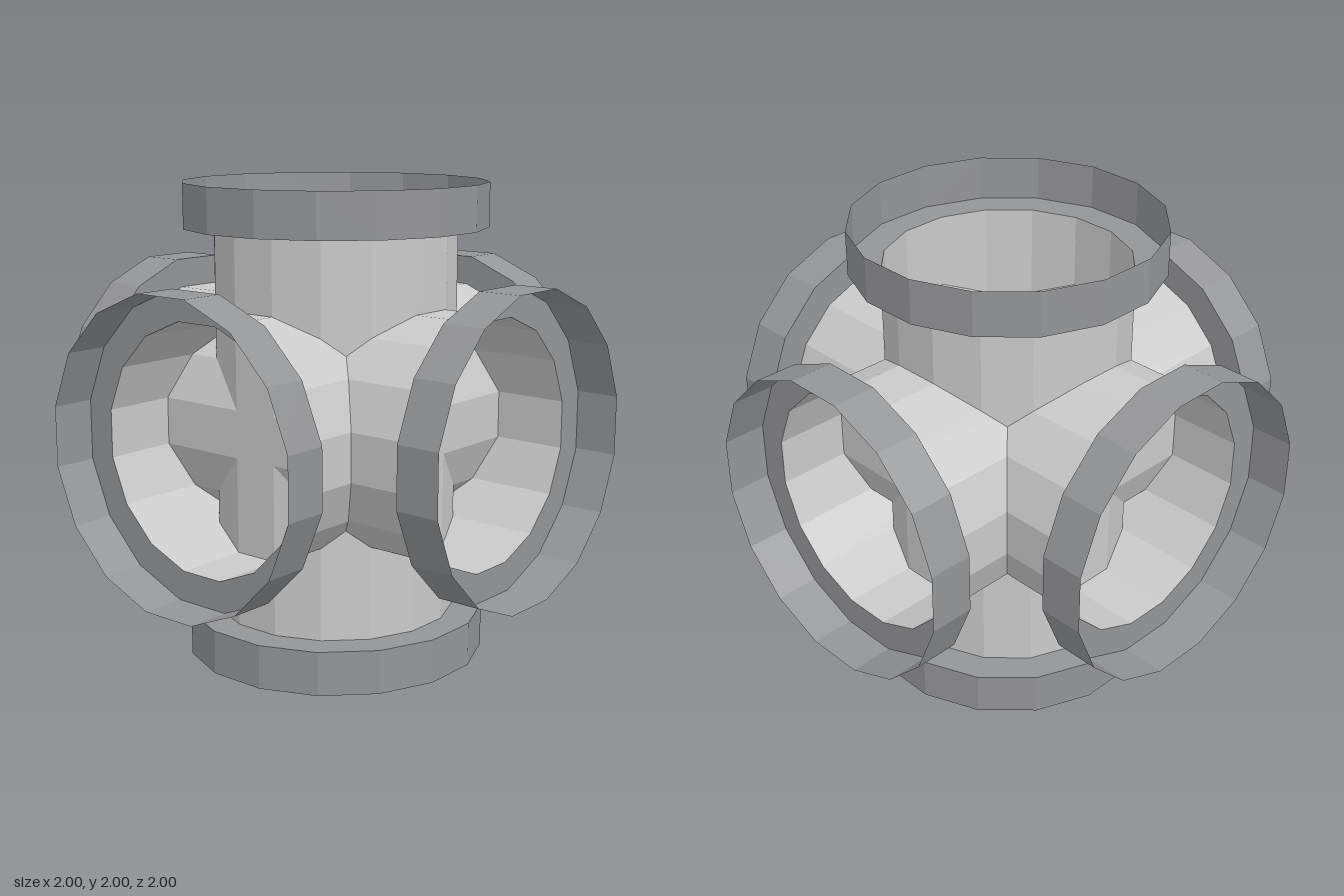
import * as THREE from 'three';

const SIDES = 16;
const HALF_STEP = Math.PI / SIDES;
const corner = (flat) => flat / Math.cos(HALF_STEP); // corner radius from flat distance

const PIPE = corner(0.5);
const RIM = corner(0.625);
const SHOULDER = 0.815;

export function createModel() {
  const pipeGrey = new THREE.MeshStandardMaterial({ color: 0xcacaca, flatShading: true, side: THREE.DoubleSide });
  pipeGrey.name = 'light grey pipe';
  const flangeGrey = new THREE.MeshStandardMaterial({ color: 0x949597, flatShading: true, side: THREE.DoubleSide });
  flangeGrey.name = 'dark grey flange';

  // Thin tube, open at both ends, with flats facing the axes
  const pipeGeometry = new THREE.CylinderGeometry(PIPE, PIPE, SHOULDER * 2, SIDES, 1, true, HALF_STEP);

  // Open socket: flat shoulder around the pipe end, then a thin outer band
  const flangeGeometry = new THREE.LatheGeometry([
    new THREE.Vector2(PIPE, SHOULDER),
    new THREE.Vector2(RIM, SHOULDER),
    new THREE.Vector2(RIM, 1),
  ], SIDES, HALF_STEP);

  const model = new THREE.Group();
  model.name = 'sixWayPipeJoint';

  // One pipe with a flange at each end, along each axis
  const axes = [
    ['vertical', 0, 0],
    ['sideways', 0, Math.PI / 2],
    ['frontToBack', Math.PI / 2, 0],
  ];
  for (const [name, rx, rz] of axes) {
    const branch = new THREE.Group();
    branch.name = name + 'Branch';

    const pipe = new THREE.Mesh(pipeGeometry, pipeGrey);
    pipe.name = name + 'Pipe';
    branch.add(pipe);

    for (const turn of [0, Math.PI]) {
      const flange = new THREE.Mesh(flangeGeometry, flangeGrey);
      flange.name = name + (turn ? 'FlangeB' : 'FlangeA');
      flange.rotation.x = turn;
      branch.add(flange);
    }

    branch.rotation.set(rx, 0, rz);
    branch.position.y = 1;
    model.add(branch);
  }
  return model;
}
